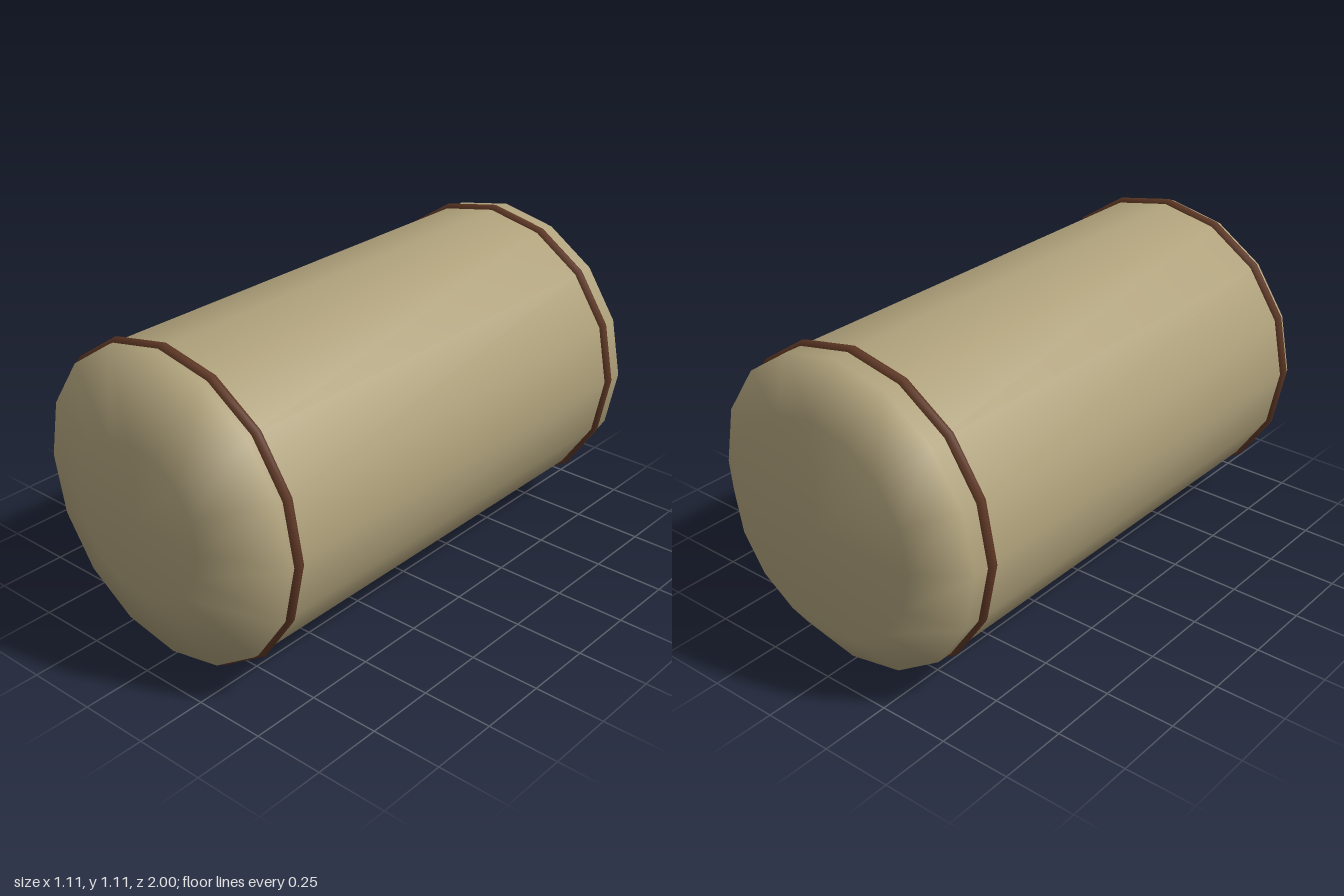
import * as THREE from 'three';
import { mergeVertices } from 'three/addons/utils/BufferGeometryUtils.js';

const SIDES = 16;
const CENTRE_Y = 0.56;

export function createModel() {
  const straw = new THREE.MeshStandardMaterial({ color: 0xafa17b });
  straw.name = 'straw';
  const twine = new THREE.MeshStandardMaterial({ color: 0x5c3623 });
  twine.name = 'twine';

  const model = new THREE.Group();
  model.name = 'roundBale';

  // Body: closed 16-sided roll, bevelled wider at the back than at the front
  const profile = [
    [0, -1], [0.38, -1], [0.54, -0.885], [0.54, 0.885], [0.27, 1], [0, 1],
  ].map(([r, z]) => new THREE.Vector2(r, z));
  const lathe = new THREE.LatheGeometry(profile, SIDES);
  lathe.deleteAttribute('uv');
  lathe.deleteAttribute('normal');
  const bodyGeometry = mergeVertices(lathe, 1e-4); // weld the seam so shading is continuous
  bodyGeometry.rotateX(Math.PI / 2);
  bodyGeometry.computeVertexNormals();
  const body = new THREE.Mesh(bodyGeometry, straw);
  body.name = 'baleBody';
  body.position.y = CENTRE_Y;
  model.add(body);

  // Bands: one loop of twine near each end
  const bandGeometry = new THREE.TorusGeometry(0.535, 0.02, 8, SIDES);
  for (const [name, z] of [['frontBand', 0.85], ['backBand', -0.81]]) {
    const band = new THREE.Mesh(bandGeometry, twine);
    band.name = name;
    band.position.set(0, CENTRE_Y, z);
    model.add(band);
  }

  // Rest the lowest point of the bands on the ground
  model.children.forEach((part) => { part.position.y -= 0.005; });
  return model;
}
